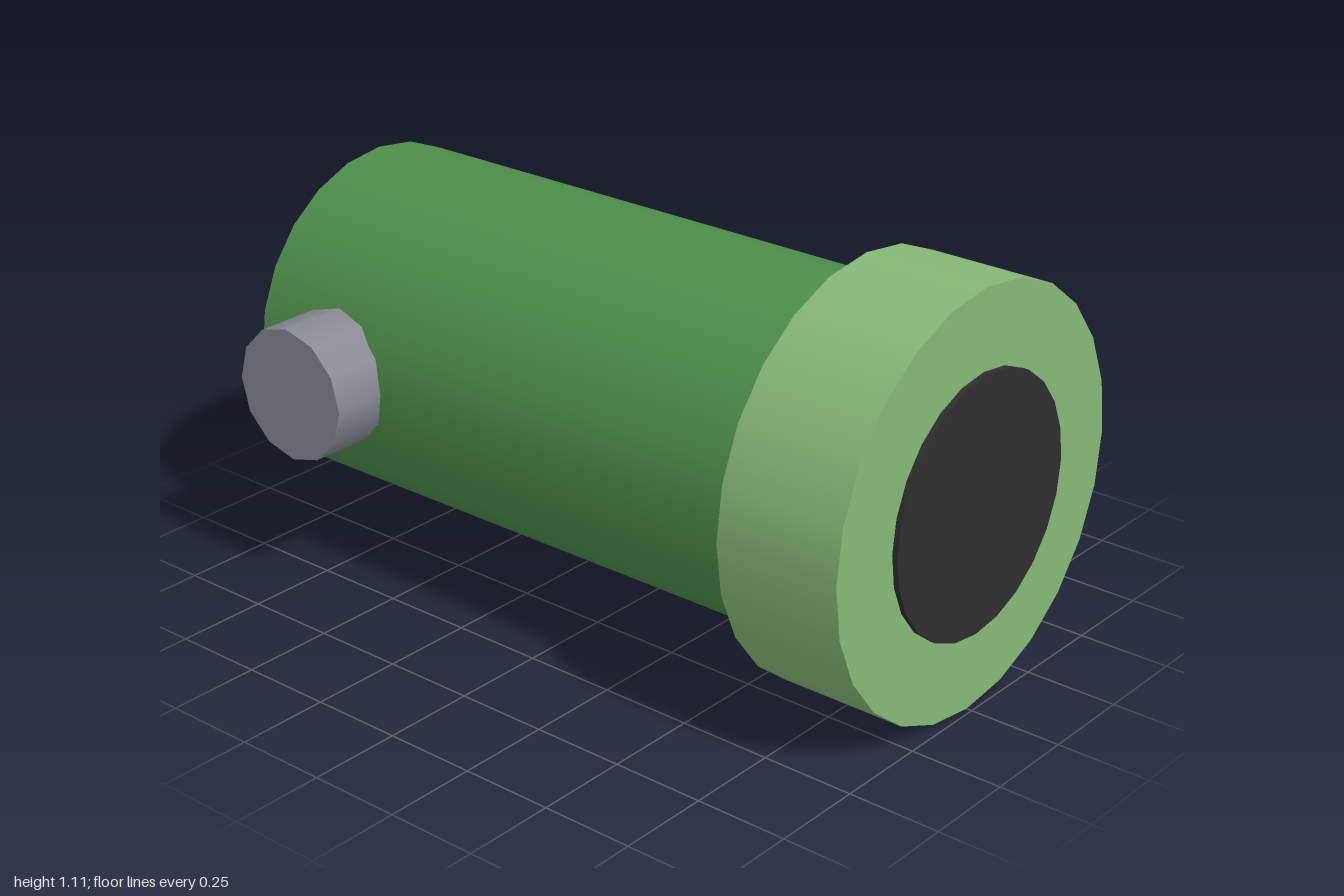
import * as THREE from 'three';

export function createModel() {
  const model = new THREE.Group();
  const material = (name, color) => {
    const m = new THREE.MeshStandardMaterial({ color });
    m.name = name;
    return m;
  };
  const green = material('green', 0x4d8f4a);
  const lightGreen = material('lightGreen', 0x86b976);
  const grey = material('grey', 0x888993);
  const black = material('black', 0x2e2e2e);

  const axisY = 0.556; // height of the barrel axis

  // Cylinder along x from x0 to x1
  const alongX = (name, radius, x0, x1, mat) => {
    const geometry = new THREE.CylinderGeometry(radius, radius, x1 - x0, 24);
    geometry.rotateZ(-Math.PI / 2);
    const mesh = new THREE.Mesh(geometry, mat);
    mesh.name = name;
    mesh.position.set((x0 + x1) / 2, axisY, 0);
    model.add(mesh);
  };

  alongX('barrel', 0.461, -1, 0.7, green);
  alongX('muzzleRing', 0.556, 0.64, 0.985, lightGreen);
  alongX('bore', 0.343, 0.9, 1, black);

  // Side pegs, front and back
  for (const side of [1, -1]) {
    const geometry = new THREE.CylinderGeometry(0.183, 0.183, 0.25, 12);
    geometry.rotateX(side * Math.PI / 2);
    const peg = new THREE.Mesh(geometry, grey);
    peg.name = side > 0 ? 'frontPeg' : 'backPeg';
    peg.position.set(-0.738, axisY, side * 0.483);
    model.add(peg);
  }

  return model;
}
